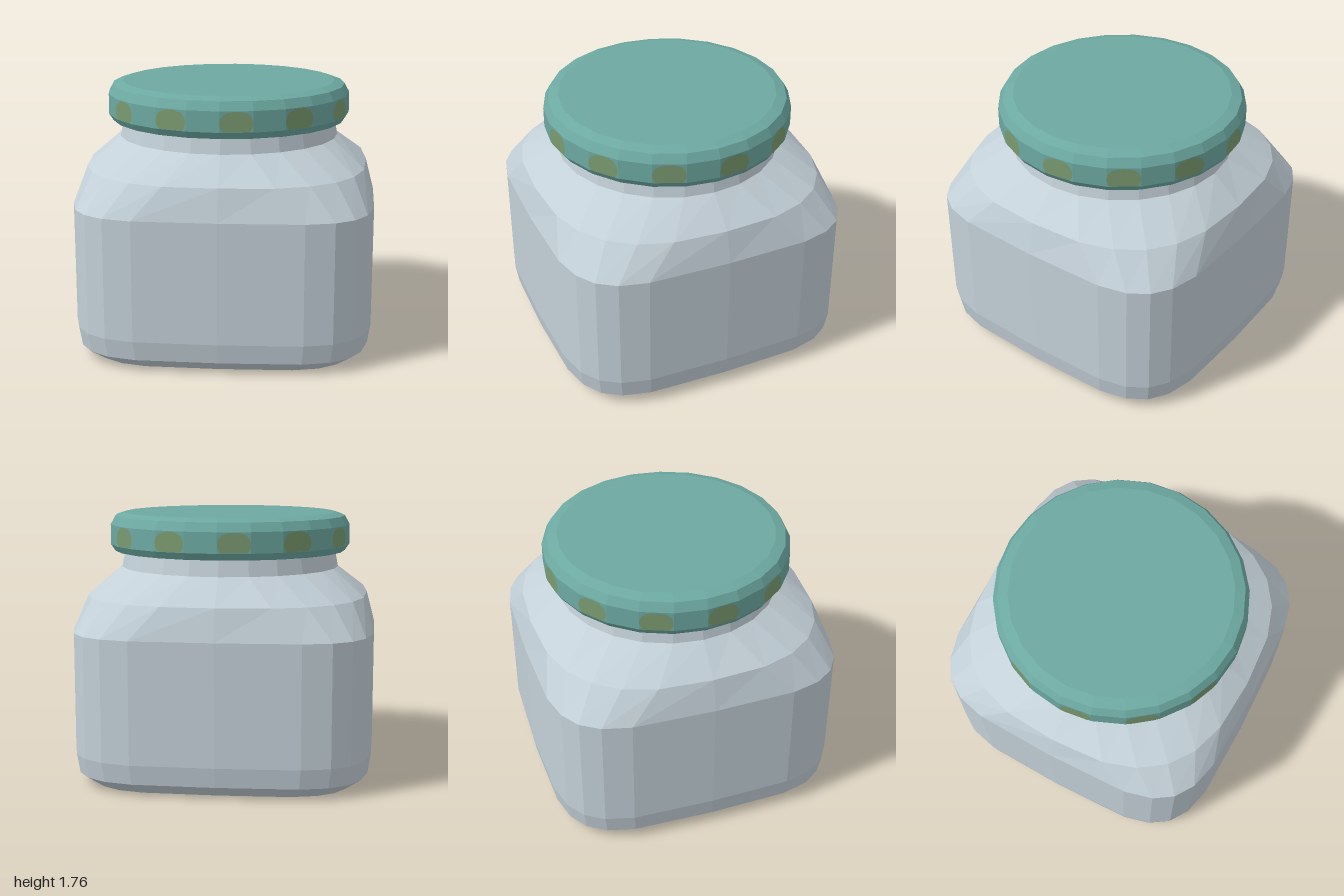
import * as THREE from 'three';

const SIDES = 24;

// Skins rings [y, radius, squareness exponent]; exponent 1 is round, smaller is squarer.
function loft(rings) {
  const pos = [];
  const idx = [];
  for (const [y, r, e = 1] of rings) {
    for (let j = 0; j < SIDES; j++) {
      const a = (j / SIDES) * Math.PI * 2;
      const bend = (v) => (Math.abs(v) < 1e-9 ? 0 : Math.sign(v) * Math.abs(v) ** e);
      pos.push(r * bend(Math.sin(a)), y, r * bend(Math.cos(a)));
    }
  }
  for (let i = 0; i < rings.length - 1; i++) {
    for (let j = 0; j < SIDES; j++) {
      const k = (j + 1) % SIDES;
      const a = i * SIDES + j, b = i * SIDES + k;
      const c = b + SIDES, d = a + SIDES;
      if (rings[i][1] > 0) idx.push(a, b, c);
      if (rings[i + 1][1] > 0) idx.push(a, c, d);
      // a ring of radius 0 closes the skin with single triangles
      if (rings[i][1] === 0) idx.push();
      else if (rings[i + 1][1] === 0) idx.push();
    }
  }
  const geo = new THREE.BufferGeometry();
  geo.setAttribute('position', new THREE.Float32BufferAttribute(pos, 3));
  geo.setIndex(idx);
  const flat = geo.toNonIndexed();
  flat.computeVertexNormals();
  return flat;
}

function addMesh(group, name, geo, material) {
  const mesh = new THREE.Mesh(geo, material);
  mesh.name = name;
  group.add(mesh);
  return mesh;
}

export function createModel() {
  const group = new THREE.Group();
  group.name = 'jar';

  const glass = new THREE.MeshStandardMaterial({ name: 'pale glass', color: 0xc3d0d8 });
  const teal = new THREE.MeshStandardMaterial({ name: 'teal lid', color: 0x6da9a2 });
  const olive = new THREE.MeshStandardMaterial({ name: 'olive spots', color: 0x7a9a70 });

  // Rounded-square body blending into a round shoulder
  addMesh(group, 'body', loft([
    [0, 0, 0.45],
    [0, 0.88, 0.45],
    [0.08, 0.98, 0.45],
    [0.21, 1, 0.45],
    [1.01, 1, 0.45],
    [1.22, 0.945, 0.73],
    [1.39, 0.745, 1],
  ]), glass);

  // Neck rising into the lid
  addMesh(group, 'neck', loft([[1.39, 0.745], [1.51, 0.722], [1.56, 0.715]]), glass);

  // Lid with chamfered rims
  addMesh(group, 'lid', loft([
    [1.52, 0.68],
    [1.5, 0.74],
    [1.5, 0.79],
    [1.545, 0.82],
    [1.68, 0.82],
    [1.738, 0.788],
    [1.76, 0.72],
    [1.76, 0],
  ]), teal);

  // Painted spots on every second facet of the lid band
  const spot = new THREE.Shape();
  spot.moveTo(-0.08, 1.547);
  spot.lineTo(0.08, 1.547);
  spot.quadraticCurveTo(0.106, 1.57, 0.106, 1.605);
  spot.quadraticCurveTo(0.1, 1.677, 0, 1.677);
  spot.quadraticCurveTo(-0.1, 1.677, -0.106, 1.605);
  spot.quadraticCurveTo(-0.106, 1.57, -0.08, 1.547);
  const spotGeo = new THREE.ShapeGeometry(spot, 5);
  spotGeo.translate(0, 0, 0.82 * Math.cos(Math.PI / SIDES) + 0.003);
  for (let i = 0; i < SIDES / 2; i++) {
    const mesh = addMesh(group, 'lidSpot', spotGeo, olive);
    mesh.rotation.y = ((2 * i + 0.5) / SIDES) * Math.PI * 2;
  }

  return group;
}
